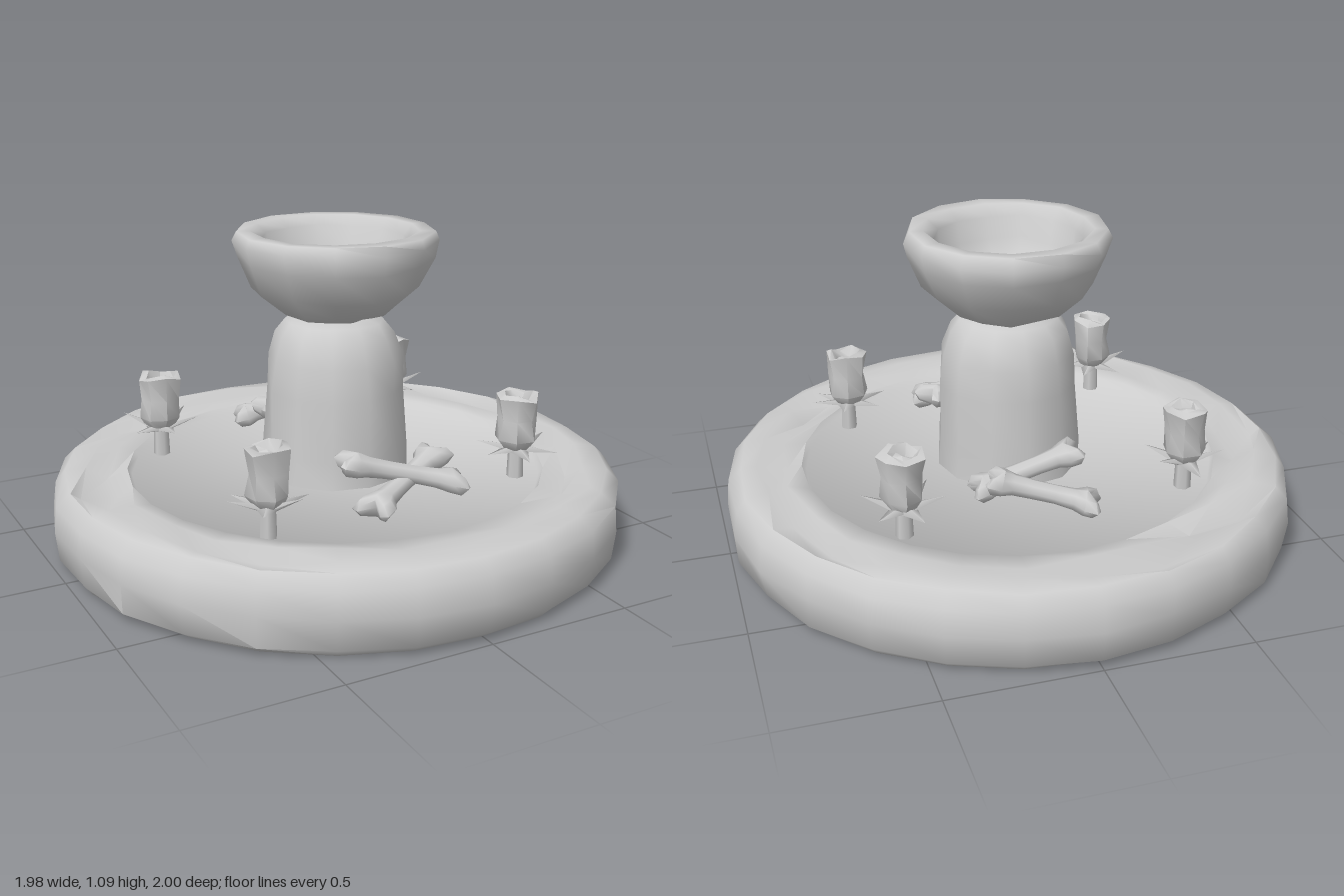
import * as THREE from 'three';
import { mergeVertices, toCreasedNormals } from 'three/addons/utils/BufferGeometryUtils.js';

const material = new THREE.MeshStandardMaterial({ color: 0xcccccc, side: THREE.DoubleSide });

// Small seeded random in -1..1
let seed = 11;
function rand() {
  seed = (seed * 16807) % 2147483647;
  return (seed / 2147483647) * 2 - 1;
}

function part(name, geometry) {
  const mesh = new THREE.Mesh(geometry, material);
  mesh.name = name;
  return mesh;
}

// Weld a geometry and move every vertex by a rule, then smooth it
function carve(geometry, rule, crease = 0.9) {
  geometry.deleteAttribute('uv');
  geometry.deleteAttribute('normal');
  const welded = mergeVertices(geometry, 1e-4);
  const pos = welded.attributes.position;
  const v = new THREE.Vector3();
  for (let i = 0; i < pos.count; i++) {
    rule(v.fromBufferAttribute(pos, i));
    pos.setXYZ(i, v.x, v.y, v.z);
  }
  welded.computeVertexNormals();
  return toCreasedNormals(welded, crease);
}

function lathe(profile, sides, rule, crease) {
  const points = profile.map(([r, y]) => new THREE.Vector2(r, y));
  return carve(new THREE.LatheGeometry(points, sides), rule, crease);
}

// Round stone slab with a chipped rim and a slightly sunken floor
function makeBase() {
  const profile = [
    [0, 0.01], [0.95, 0.01], [0.985, 0.04], [0.995, 0.14], [0.985, 0.23], [0.945, 0.272],
    [0.88, 0.28], [0.80, 0.275], [0.73, 0.268], [0.715, 0.248], [0, 0.248],
  ];
  return part('base', lathe(profile, 26, (v) => {
    const r = Math.hypot(v.x, v.z);
    if (r > 0.9) {
      const k = 1 + rand() * 0.008;
      v.x *= k;
      v.z *= k;
    } else if (r > 0.76) {
      v.y += rand() > 0.65 ? -0.035 : rand() * 0.006;
      v.x += rand() * 0.025;
      v.z += rand() * 0.025;
    }
  }, 0.95));
}

function makePedestal() {
  const profile = [
    [0.255, 0.23], [0.25, 0.34], [0.242, 0.55], [0.232, 0.66], [0.205, 0.74],
    [0.17, 0.785], [0.12, 0.80], [0, 0.81],
  ];
  return part('pedestal', lathe(profile, 12, (v) => {
    const k = 1 + rand() * 0.025;
    v.x *= k;
    v.z *= k;
  }, 1.2));
}

// Thick rounded bowl, open on top
function makeBowl() {
  const profile = [
    [0, 0.785], [0.11, 0.79], [0.20, 0.82], [0.29, 0.90], [0.335, 1.0], [0.35, 1.06], [0.335, 1.095],
    [0.285, 1.095], [0.25, 1.06], [0.235, 0.98], [0.18, 0.91], [0, 0.895],
  ];
  return part('bowl', lathe(profile, 13, (v) => {
    const k = 1 + rand() * 0.022;
    v.x *= k;
    v.z *= k;
    if (v.y < 1.07) v.y += rand() * 0.008;
  }, 1.3));
}

// Bone between two points: thin shaft that flares into two-lobed ends
function makeBone(from, to) {
  const a = new THREE.Vector3(...from), b = new THREE.Vector3(...to);
  const length = a.distanceTo(b);
  const widths = [0.045, 0.068, 0.064, 0.04, 0.034, 0.034, 0.04, 0.064, 0.068, 0.045];
  const depths = [0.028, 0.042, 0.042, 0.035, 0.031, 0.031, 0.035, 0.042, 0.042, 0.028];
  const spots = [-0.56, -0.53, -0.43, -0.32, -0.12, 0.12, 0.32, 0.43, 0.53, 0.56];
  const geometry = carve(new THREE.CylinderGeometry(1, 1, 9, 8, 9), (v) => {
    const i = Math.round(v.y + 4.5);
    const end = Math.sign(spots[i]) * (Math.abs(spots[i]) > 0.5 ? 1 : 0);
    const lobe = Math.abs(v.x);
    v.y = spots[i] * length + end * (lobe - 0.7) * 0.045;
    v.x *= widths[i] * (1 + rand() * 0.06);
    v.z *= depths[i] * (1 + rand() * 0.06);
  }, 1.3);
  const bone = part('bone', geometry);
  bone.position.copy(a).add(b).multiplyScalar(0.5);
  // Long axis along the bone, lobes spread level
  const axis = b.clone().sub(a).normalize();
  const level = new THREE.Vector3(0, 1, 0).cross(axis).normalize();
  const third = level.clone().cross(axis);
  bone.quaternion.setFromRotationMatrix(new THREE.Matrix4().makeBasis(level, axis, third));
  return bone;
}

// Closed rosebud on a short stem with a ring of pointed leaves
function makeRose(x, z, turn) {
  const rose = new THREE.Group();
  rose.name = 'rose';

  const stem = part('stem', new THREE.CylinderGeometry(0.026, 0.03, 0.13, 6));
  stem.position.y = 0.3;
  rose.add(stem);

  const profile = [
    [0, 0.345], [0.045, 0.35], [0.07, 0.39], [0.064, 0.46], [0.076, 0.54],
    [0.05, 0.545], [0.035, 0.52], [0, 0.53],
  ];
  const bud = part('bud', lathe(profile, 7, (v) => {
    const k = 1 + rand() * 0.11;
    v.x *= k;
    v.z *= k;
    if (v.y > 0.5) v.y += rand() * 0.012;
  }, 0.9));
  rose.add(bud);

  for (let i = 0; i < 6; i++) {
    const leafGeometry = new THREE.ConeGeometry(0.035, 0.12, 4);
    leafGeometry.scale(1, 1, 0.35);
    leafGeometry.translate(0, 0.06, 0);
    leafGeometry.rotateX(1.35 + rand() * 0.25);
    const leaf = part('leaf', leafGeometry);
    leaf.position.y = 0.35;
    leaf.rotation.y = (i / 6) * Math.PI * 2;
    leaf.translateZ(0.025);
    rose.add(leaf);
  }
  rose.position.set(x, 0, z);
  rose.rotation.y = turn;
  return rose;
}

export function createModel() {
  const model = new THREE.Group();
  model.name = 'offeringFountain';
  model.add(makeBase(), makePedestal(), makeBowl());

  // Crossed bones in front of and behind the pedestal
  model.add(
    makeBone([-0.15, 0.40, 0.37], [0.21, 0.305, 0.46]),
    makeBone([-0.13, 0.29, 0.51], [0.20, 0.36, 0.33]),
    makeBone([-0.13, 0.30, -0.51], [0.16, 0.37, -0.40]),
    makeBone([-0.13, 0.39, -0.31], [0.19, 0.30, -0.31]),
  );

  // Four roses around the floor
  const spots = [[-0.50, -0.40], [0.48, -0.45], [-0.48, 0.46], [0.50, 0.39]];
  spots.forEach(([x, z], i) => model.add(makeRose(x, z, i * 1.3)));
  return model;
}
